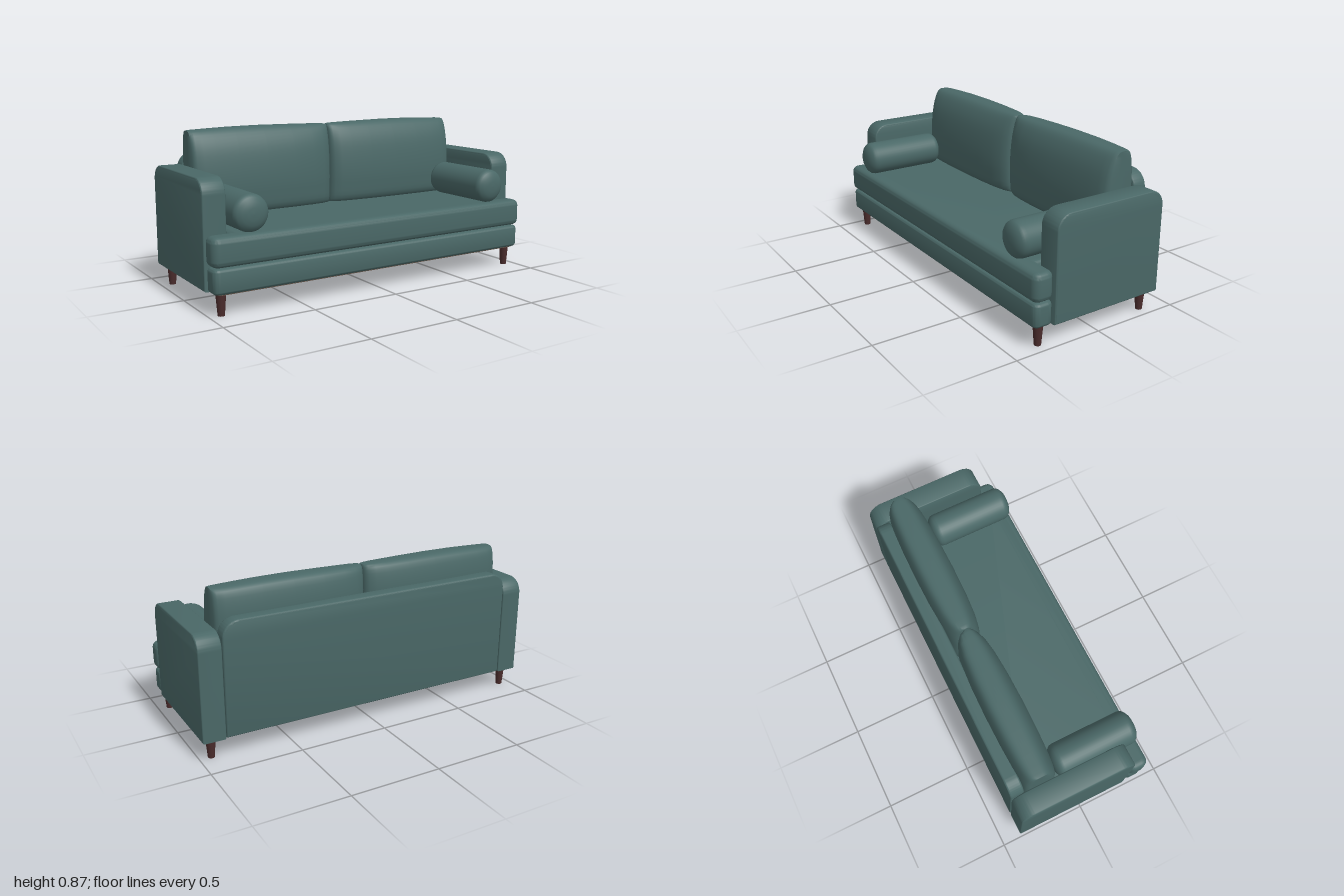
import * as THREE from 'three';
import { toCreasedNormals, mergeVertices } from 'three/addons/utils/BufferGeometryUtils.js';

const fabric = new THREE.MeshStandardMaterial({ color: 0x4a6867 });
fabric.name = 'teal fabric';
const wood = new THREE.MeshStandardMaterial({ color: 0x4a2c2c });
wood.name = 'dark wood';
const lining = new THREE.MeshStandardMaterial({ color: 0x66564b });
lining.name = 'brown lining';

// Panel outline with rounded top corners
function archShape(x0, x1, y0, y1, r) {
  const s = new THREE.Shape();
  s.moveTo(x0, y0);
  s.lineTo(x1, y0);
  s.lineTo(x1, y1 - r);
  s.absarc(x1 - r, y1 - r, r, 0, Math.PI / 2);
  s.lineTo(x0 + r, y1);
  s.absarc(x0 + r, y1 - r, r, Math.PI / 2, Math.PI);
  s.closePath();
  return s;
}

// T-shaped plan (shape y is -z): narrow between the arms, wide in front of them
function teeShape(inner, outer, back, step, front, r) {
  const s = new THREE.Shape();
  s.moveTo(-inner, -back);
  s.lineTo(-inner, -step);
  s.lineTo(-outer + r, -step);
  s.quadraticCurveTo(-outer, -step, -outer, -step - r);
  s.lineTo(-outer, -front + r);
  s.quadraticCurveTo(-outer, -front, -outer + r, -front);
  s.lineTo(outer - r, -front);
  s.quadraticCurveTo(outer, -front, outer, -front + r);
  s.lineTo(outer, -step - r);
  s.quadraticCurveTo(outer, -step, outer - r, -step);
  s.lineTo(inner, -step);
  s.lineTo(inner, -back);
  s.closePath();
  return s;
}

// Extrusion of the given total depth, centred on its own z, with rounded edges
function softExtrude(shape, depth, bevel, segments = 4) {
  const geo = new THREE.ExtrudeGeometry(shape, {
    depth: depth - 2 * bevel, bevelEnabled: true, bevelSize: bevel,
    bevelThickness: bevel, bevelSegments: segments, curveSegments: 10,
  });
  geo.translate(0, 0, -depth / 2 + bevel);
  return toCreasedNormals(geo, 0.7);
}

// Soft T-shaped slab lying between heights y0 and y1
function teeSlab(y0, y1, outer, front, b) {
  const shape = teeShape(0.865 - b, outer - b, -0.32 + b, 0.28 + b, front - b, 0.012);
  const geo = softExtrude(shape, y1 - y0, b, 6);
  geo.rotateX(-Math.PI / 2);
  geo.translate(0, (y0 + y1) / 2, 0);
  return geo;
}

// Back cushion: side profile swept along x, pinched at both ends
function cushionGeometry(x0, x1) {
  const midZ = -0.22, midY = 0.64;
  const profile = new THREE.CatmullRomCurve3([
    [-0.13, 0.405], [-0.105, 0.5], [-0.107, 0.66], [-0.135, 0.79], [-0.182, 0.862],
    [-0.24, 0.872], [-0.298, 0.86], [-0.326, 0.78], [-0.33, 0.6], [-0.31, 0.405],
  ].map(([z, y]) => new THREE.Vector3(0, y, z)), true, 'centripetal').getPoints(44).slice(0, 44);
  // Position along the cushion, thickness scale, height scale
  const sections = [
    [0, 0, 0.95], [0, 0.32, 0.95], [0.008, 0.5, 0.96], [0.025, 0.64, 0.97], [0.07, 0.78, 0.975],
    [0.15, 0.89, 0.98], [0.3, 0.97, 0.99], [0.5, 1, 1], [0.7, 0.98, 0.995], [0.85, 0.93, 0.98],
    [0.93, 0.87, 0.97], [0.975, 0.8, 0.965], [0.99, 0.72, 0.96], [1, 0.6, 0.955], [1, 0, 0.95],
  ];
  const n = profile.length, pos = [], idx = [];
  for (const [t, sz, sy] of sections) {
    for (const p of profile) {
      const y = p.y > midY ? midY + (p.y - midY) * sy : p.y;
      pos.push(x0 + (x1 - x0) * t, y, midZ + (p.z - midZ) * sz);
    }
  }
  for (let i = 0; i < sections.length - 1; i++) {
    for (let j = 0; j < n; j++) {
      const a = i * n + j, b = i * n + (j + 1) % n, c = a + n, d = b + n;
      // Winding follows the sweep direction so faces point outwards
      if (x1 > x0) idx.push(a, b, c, b, d, c);
      else idx.push(a, c, b, b, c, d);
    }
  }
  const geo = new THREE.BufferGeometry();
  geo.setAttribute('position', new THREE.Float32BufferAttribute(pos, 3));
  geo.setIndex(idx);
  const v = (k) => new THREE.Vector3().fromArray(pos, k * 3);
  // Check one front face and flip everything if it points backwards
  const k = 7 * n + 6, nrm = v(k + 1).sub(v(k)).cross(v(k + n).sub(v(k)));
  if (x1 < x0) nrm.negate();
  if (nrm.z < 0) for (let i = 0; i < idx.length; i += 3) [idx[i], idx[i + 1]] = [idx[i + 1], idx[i]];
  geo.setIndex(idx);
  return toCreasedNormals(mergeVertices(geo), 1);
}

export function createModel() {
  const sofa = new THREE.Group();
  sofa.name = 'sofa';
  const add = (name, geo, mat, x = 0, y = 0, z = 0) => {
    const mesh = new THREE.Mesh(geo, mat);
    mesh.name = name;
    mesh.position.set(x, y, z);
    sofa.add(mesh);
    return mesh;
  };

  // Base rail and seat cushion
  add('base', teeSlab(0.116, 0.246, 0.99, 0.39, 0.022), fabric);
  add('seatCushion', teeSlab(0.251, 0.402, 0.997, 0.397, 0.032), fabric);

  // Underside lining
  const plate = new THREE.ExtrudeGeometry(teeShape(0.865, 0.96, -0.32, 0.29, 0.37, 0.01),
    { depth: 0.005, bevelEnabled: false });
  plate.rotateX(-Math.PI / 2);
  add('undersideLining', plate, lining, 0, 0.112, 0);

  // Back panel
  const bp = 0.01;
  add('backPanel', softExtrude(archShape(-0.865 + bp, 0.865 - bp, 0.115 + bp, 0.73 - bp, 0.08), 0.08, bp),
    fabric, 0, 0, -0.356);

  // Arms: side outline extruded across the width
  const ab = 0.01;
  const armGeo = softExtrude(archShape(-0.275 + ab, 0.395 - ab, 0.111 + ab, 0.674 - ab, 0.075), 0.127, ab);
  armGeo.rotateY(Math.PI / 2);

  // Bolster: domed cylinder along z
  const bolsterProfile = [
    [0, 0.25], [0.03, 0.249], [0.06, 0.243], [0.082, 0.23], [0.093, 0.217], [0.097, 0.2],
  ];
  const half = bolsterProfile.map(([r, l]) => new THREE.Vector2(r, l));
  const bolsterGeo = new THREE.LatheGeometry(
    [...half.map((p) => new THREE.Vector2(p.x, -p.y)), ...half.reverse()], 40);
  bolsterGeo.rotateX(Math.PI / 2);

  const legGeo = new THREE.CylinderGeometry(0.027, 0.018, 0.118, 20);

  for (const side of [1, -1]) {
    const label = side > 0 ? 'left' : 'right';
    add(label + 'Arm', armGeo, fabric, side * 0.932, 0, 0);
    add(label + 'BackCushion', cushionGeometry(side * 0.002, side * 0.866), fabric);
    add(label + 'Bolster', bolsterGeo, fabric, side * 0.775, 0.5, 0.143);
    add(label + 'FrontLeg', legGeo, wood, side * 0.935, 0.059, 0.331);
    add(label + 'BackLeg', legGeo, wood, side * 0.935, 0.059, -0.334);
  }
  return sofa;
}
